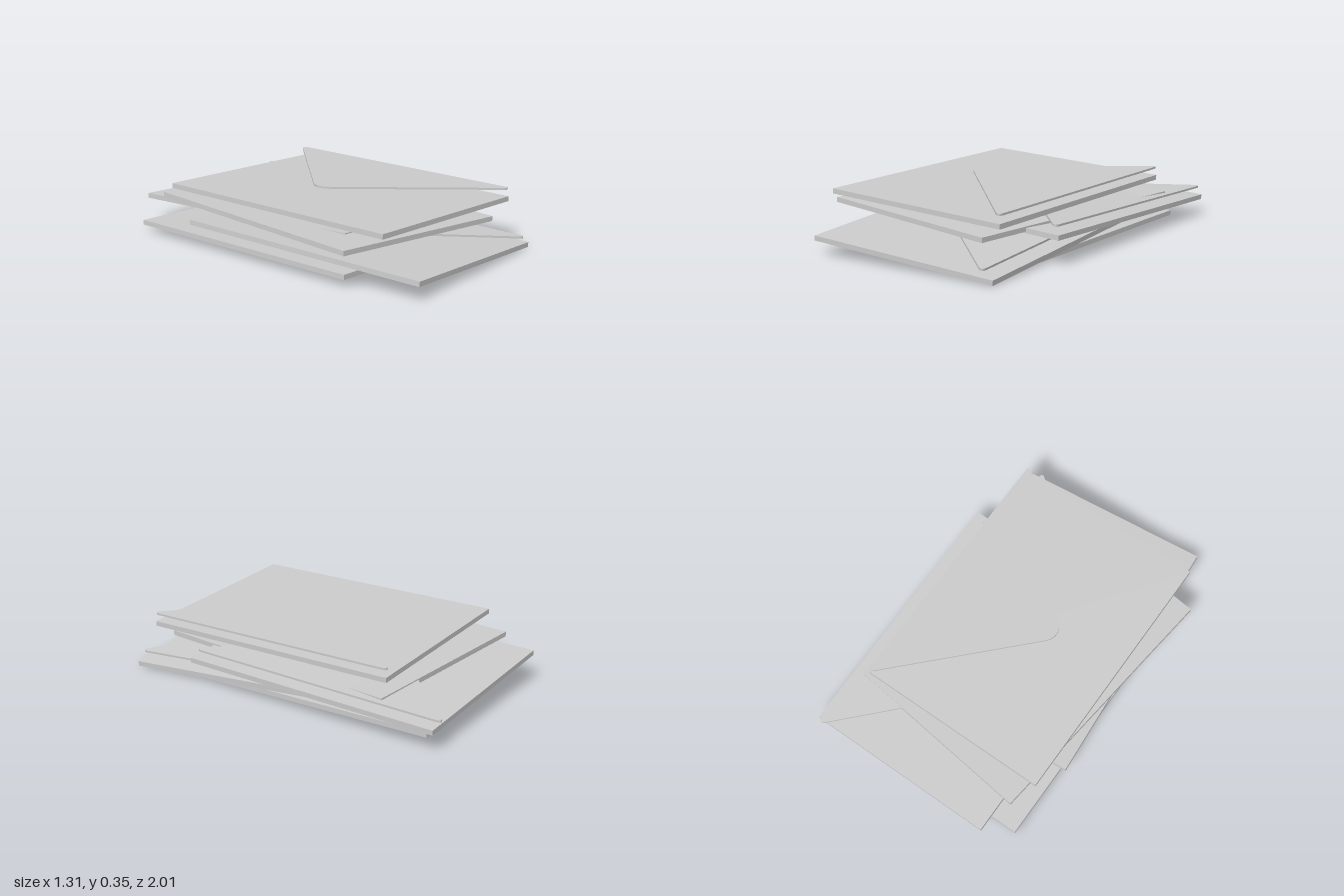
import * as THREE from 'three';

const WIDTH = 1.085, LENGTH = 1.465, BODY_T = 0.027, FLAP_T = 0.011;

// Triangular flap with rounded tip and corners, lying flat and centred on y = 0
function flapGeometry() {
  const s = new THREE.Shape();
  s.moveTo(0.542, -0.7);
  s.lineTo(0.542, 0.7);
  s.quadraticCurveTo(0.542, 0.756, 0.5, 0.71);
  s.lineTo(-0.13, 0.07);
  s.quadraticCurveTo(-0.2, 0, -0.13, -0.07);
  s.lineTo(0.5, -0.71);
  s.quadraticCurveTo(0.542, -0.756, 0.542, -0.7);
  const g = new THREE.ExtrudeGeometry(s, { depth: FLAP_T, bevelEnabled: false, curveSegments: 10 });
  return g.rotateX(-Math.PI / 2).translate(0, -FLAP_T / 2, 0);
}

// Stack from bottom to top: centre, turn, rise along x and z, optional flap offset
const ENVELOPES = [
  { name: 'bottomEnvelope', at: [-0.025, 0.036, -0.147], yaw: 0, riseX: -0.035, riseZ: 0 },
  { name: 'secondEnvelope', at: [-0.01, 0.081, 0.225], yaw: 0.072, riseX: -0.069, riseZ: -0.034, flap: [-0.055, 0.052, 0] },
  { name: 'thirdEnvelope', at: [0.113, 0.161, -0.257], yaw: 0, riseX: -0.05, riseZ: 0.034, flap: [-0.03, 0.052, -0.023] },
  { name: 'fourthEnvelope', at: [-0.03, 0.195, -0.005], yaw: -0.12, riseX: -0.035, riseZ: 0 },
  { name: 'topEnvelope', at: [0, 0.2825, 0.073], yaw: 0, riseX: -0.034, riseZ: 0, flap: [0, 0.057, 0] },
];

export function createModel() {
  const model = new THREE.Group();
  model.name = 'envelopeStack';
  const paper = new THREE.MeshStandardMaterial({ color: 0xcccccc });
  const bodyGeo = new THREE.BoxGeometry(WIDTH, BODY_T, LENGTH);
  const flapGeo = flapGeometry();

  for (const e of ENVELOPES) {
    const envelope = new THREE.Group();
    envelope.name = e.name;
    envelope.position.set(...e.at);
    envelope.rotation.set(-Math.atan(e.riseZ), e.yaw, Math.atan(e.riseX), 'YXZ');

    const body = new THREE.Mesh(bodyGeo, paper);
    body.name = 'body';
    envelope.add(body);

    // Flap hovers just above the body
    if (e.flap) {
      const flap = new THREE.Mesh(flapGeo, paper);
      flap.name = 'flap';
      flap.position.set(...e.flap);
      envelope.add(flap);
    }
    model.add(envelope);
  }
  return model;
}
